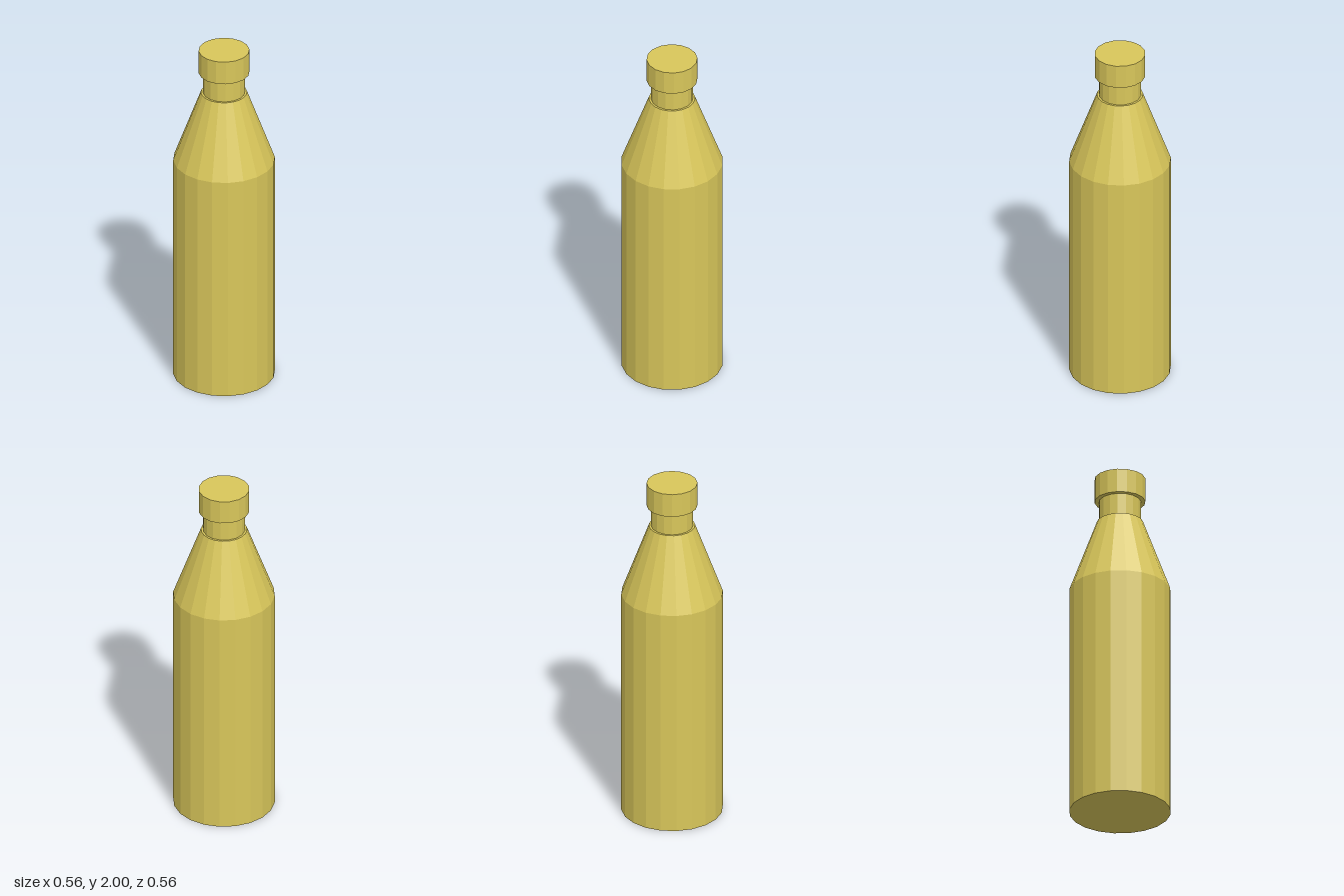
import * as THREE from 'three';

export function createModel() {
  const model = new THREE.Group();
  model.name = 'bottle';
  const material = new THREE.MeshStandardMaterial({ color: 0xd8c65a, flatShading: true });

  // Stacked faceted section from height y0 to y1
  function section(name, topRadius, bottomRadius, y0, y1, sides) {
    const geometry = new THREE.CylinderGeometry(topRadius, bottomRadius, y1 - y0, sides);
    const mesh = new THREE.Mesh(geometry, material);
    mesh.name = name;
    mesh.position.y = (y0 + y1) / 2;
    model.add(mesh);
  }

  section('body', 0.278, 0.278, 0, 1.325, 20);
  section('shoulder', 0.126, 0.278, 1.325, 1.74, 20);
  section('neck', 0.115, 0.115, 1.74, 1.863, 16);
  section('cap', 0.139, 0.139, 1.863, 2, 16);

  return model;
}
